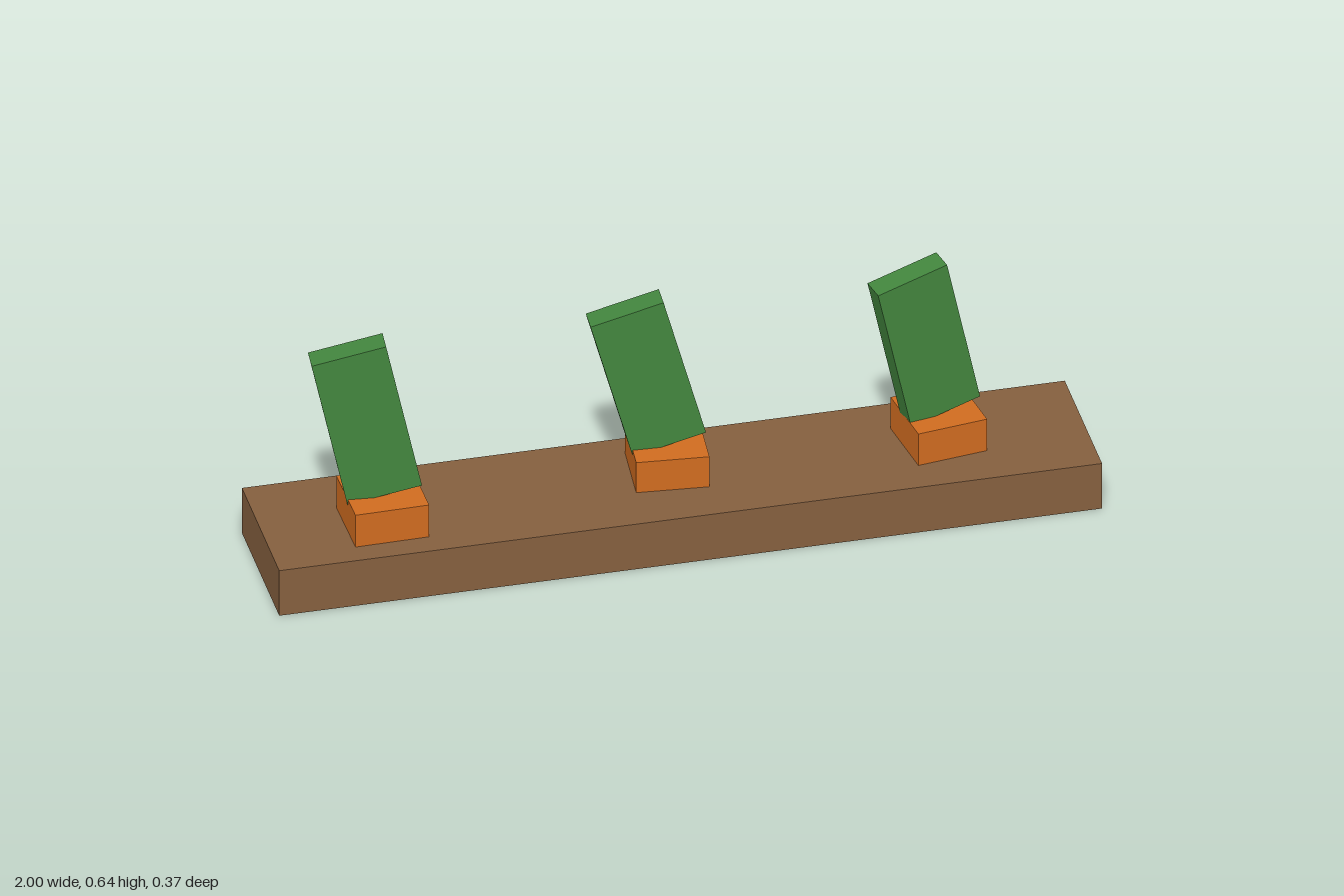
import * as THREE from 'three';

const rad = THREE.MathUtils.degToRad;

const material = (name, color) => {
  const m = new THREE.MeshStandardMaterial({ color, side: THREE.DoubleSide, flatShading: true });
  m.name = name;
  return m;
};

// Box shell without its bottom face
function openBox(w, h, d) {
  const geo = new THREE.BoxGeometry(w, h, d);
  const index = Array.from(geo.index.array);
  index.splice(18, 6);
  geo.setIndex(index);
  geo.clearGroups();
  return geo;
}

export function createModel() {
  const brown = material('brown wood', 0x85603f);
  const orange = material('orange', 0xd06c20);
  const green = material('green', 0x43863e);

  const model = new THREE.Group();
  model.name = 'plankWithSlabs';

  function add(parent, name, mat, size, pos, yaw = 0, tilt = 0) {
    const mesh = new THREE.Mesh(openBox(...size), mat);
    mesh.name = name;
    mesh.position.set(...pos);
    mesh.rotation.set(0, rad(yaw), rad(tilt), 'YXZ');
    parent.add(mesh);
  }

  // Long plank
  add(model, 'plank', brown, [2, 0.126, 0.374], [0, 0.063, 0]);

  // Three square sockets, each holding a leaning slab
  const posts = [
    { x: -0.712, z: 0.037, w: 0.18, top: 0.215, yaw: 1, slab: [0.182, 0.405, 0.061], at: [-0.754, 0.418, 0.032], turn: -5.5, lean: 12.2 },
    { x: -0.005, z: -0.027, w: 0.175, top: 0.21, yaw: -5, slab: [0.182, 0.389, 0.061], at: [-0.056, 0.403, -0.031], turn: -2.8, lean: 15.2 },
    { x: 0.65, z: -0.006, w: 0.175, top: 0.214, yaw: 8.4, slab: [0.183, 0.4, 0.061], at: [0.612, 0.415, 0], turn: 11, lean: 12.4 },
  ];
  const bottom = 0.1;
  posts.forEach((p, i) => {
    const post = new THREE.Group();
    post.name = `post${i + 1}`;
    add(post, 'socket', orange, [p.w, p.top - bottom, p.w], [p.x, (p.top + bottom) / 2, p.z], p.yaw);
    add(post, 'slab', green, p.slab, p.at, p.turn, p.lean);
    model.add(post);
  });

  return model;
}
